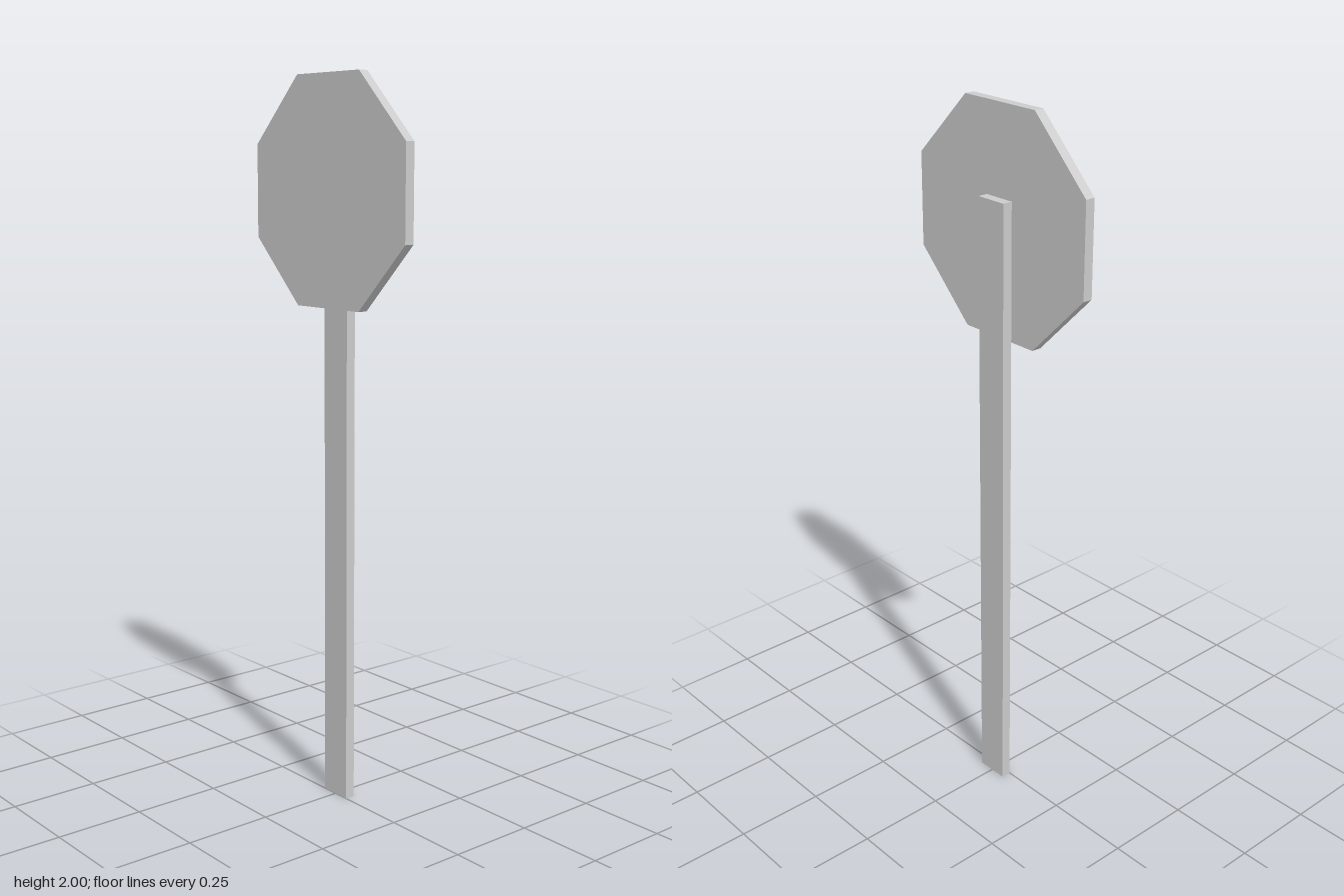
import * as THREE from 'three';

export function createModel() {
  const group = new THREE.Group();
  const material = new THREE.MeshStandardMaterial({ color: 0xcccccc, flatShading: true });
  const thickness = 0.028;

  // Octagonal board with flat top, bottom and sides
  const apothem = 0.307;
  const radius = apothem / Math.cos(Math.PI / 8);
  const boardGeometry = new THREE.CylinderGeometry(radius, radius, thickness, 8);
  boardGeometry.rotateY(Math.PI / 8).rotateX(Math.PI / 2);
  const board = new THREE.Mesh(boardGeometry, material);
  board.name = 'signBoard';
  board.position.set(0, 2 - apothem, thickness / 2);
  group.add(board);

  // Flat post fixed to the back of the board
  const postHeight = 1.76;
  const post = new THREE.Mesh(new THREE.BoxGeometry(0.094, postHeight, thickness), material);
  post.name = 'post';
  post.position.set(0, postHeight / 2, -thickness / 2);
  group.add(post);

  return group;
}
